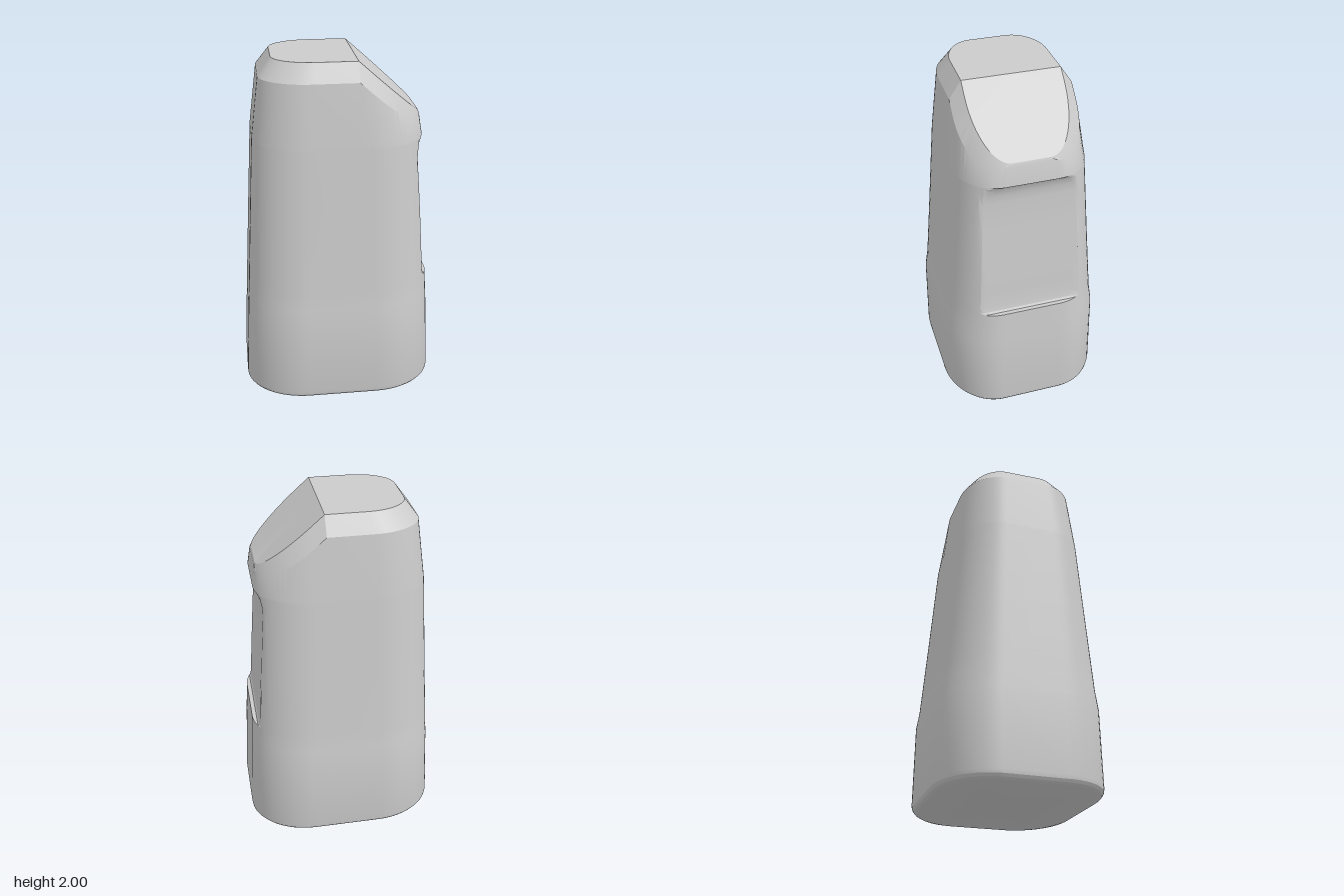
import * as THREE from 'three';
import { toCreasedNormals } from 'three/addons/utils/BufferGeometryUtils.js';

// Straight interpolation through a list of [y, value, value...] rows
function sample(rows, y) {
  let i = 0;
  while (i < rows.length - 2 && y > rows[i + 1][0]) i++;
  const a = rows[i], b = rows[i + 1];
  const t = THREE.MathUtils.clamp((y - a[0]) / (b[0] - a[0]), 0, 1);
  return a.slice(1).map((v, k) => v + (b[k + 1] - v) * t);
}

// Height, half width, half depth of the tapering body
const BODY = [
  [0, 0.515, 0.425], [0.005, 0.535, 0.447], [0.015, 0.55, 0.462], [0.03, 0.56, 0.472],
  [0.05, 0.563, 0.475], [0.5, 0.541, 0.472], [0.6, 0.535, 0.456], [1.0, 0.513, 0.423], [1.55, 0.482, 0.38],
];

// Height and depth limit of the flat grip recess on the +x side
const RECESS = [
  [0.7, 0.505], [0.712, 0.497], [0.74, 0.491], [0.83, 0.487], [1.05, 0.47], [1.25, 0.456],
  [1.43, 0.442], [1.48, 0.444], [1.52, 0.453], [1.54, 0.465], [1.55, 0.482],
];

const CREASE_X = 0.1;                                  // where the flat top turns into the slope
const slope = (x) => 2 - 0.889 * (x - CREASE_X);
const SEG = 16;

// Rounded rectangle, running from +x through +z; side(k) tells how far a point faces z
function ring(left, right, depth, heightAt, limit = 9) {
  const points = [];
  const zc = depth * 0.38;
  const add = (x, z, side) => points.push(new THREE.Vector3(Math.min(x, limit), heightAt(x, side), z));
  const corner = (sx, sz, reverse) => {
    const hx = sx > 0 ? right : left;
    for (let i = 0; i <= SEG; i++) {
      const a = ((reverse ? SEG - i : i) / SEG) * Math.PI / 2;
      add(sx * hx * (0.36 + 0.64 * Math.cos(a)), sz * (zc + (depth - zc) * Math.sin(a)), Math.sin(a));
    }
  };
  corner(1, 1, false);
  add(CREASE_X, depth, 1);
  corner(-1, 1, true);
  corner(-1, -1, false);
  add(CREASE_X, -depth, 1);
  corner(1, -1, true);
  return points;
}

// Skin a stack of rings and close both ends
function loft(rings, bottom, top) {
  const pos = [];
  const tri = (...p) => p.forEach((v) => pos.push(v.x, v.y, v.z));
  const n = rings[0].length;
  for (let j = 0; j < n; j++) {
    const k = (j + 1) % n;
    for (let i = 0; i < rings.length - 1; i++) {
      const lo = rings[i], hi = rings[i + 1];
      tri(lo[j], hi[j], hi[k]);
      tri(lo[j], hi[k], lo[k]);
    }
    tri(bottom, rings[0][j], rings[0][k]);
    const last = rings[rings.length - 1];
    tri(top, last[k], last[j]);
  }
  const g = new THREE.BufferGeometry();
  g.setAttribute('position', new THREE.Float32BufferAttribute(pos, 3));
  return toCreasedNormals(g, 0.35);
}

export function createModel() {
  const group = new THREE.Group();
  group.name = 'taperedBlock';
  const rings = [];
  const bodyRing = (y, limit) => {
    const [hx, hz] = sample(BODY, y);
    rings.push(ring(hx, hx, hz, () => y, limit));
  };

  // Base and lower body up to the recess lip
  BODY.filter((r) => r[0] < 0.7).forEach((r) => bodyRing(r[0]));
  bodyRing(0.7);
  // Recessed grip
  RECESS.forEach(([y, x]) => bodyRing(y, x));
  // Shoulder line, dropping along the slope
  rings.push(ring(0.437, 0.466, 0.342, (x, side) => Math.min(1.9, slope(x) - 0.01 - 0.09 * side)));
  // Rim of the flat top and the slope
  rings.push(ring(0.362, 0.46, 0.275, (x) => Math.min(2, slope(x))));

  const body = new THREE.Mesh(
    loft(rings, new THREE.Vector3(0, 0, 0), new THREE.Vector3(CREASE_X, 2, 0)),
    new THREE.MeshStandardMaterial({ color: 0xcccccc }),
  );
  body.name = 'body';
  group.add(body);
  return group;
}
